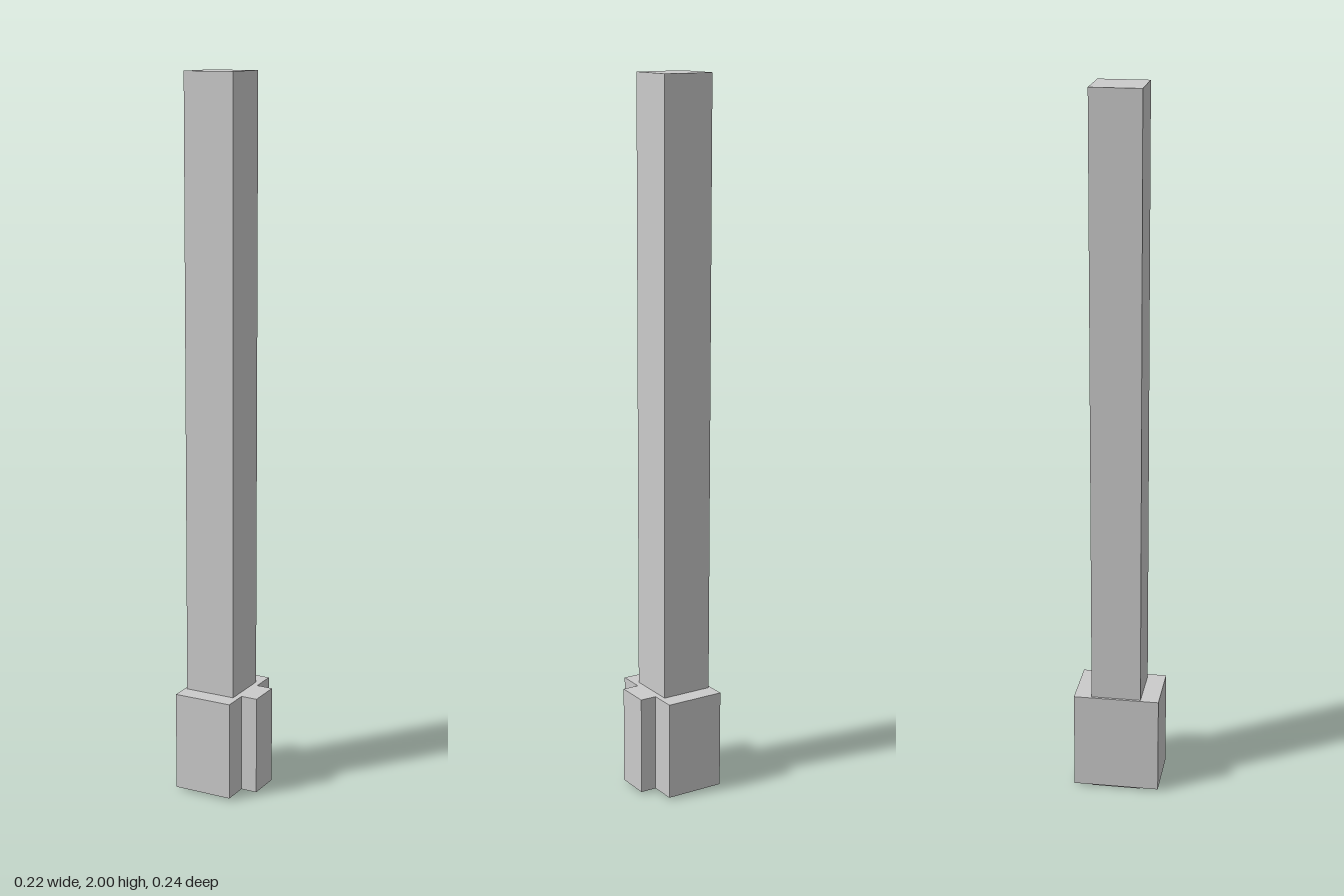
import * as THREE from 'three';

export function createModel() {
  const group = new THREE.Group();
  const material = new THREE.MeshStandardMaterial({ color: 0xcccccc, flatShading: true });

  // Tall square post, reaching just below the base
  const post = new THREE.Mesh(new THREE.BoxGeometry(0.147, 2, 0.14), material);
  post.name = 'post';
  post.position.set(-0.0285, 1, -0.002);
  group.add(post);

  // Base block with a narrower tab on its left side, drawn as a plan outline (x, -z)
  const outline = [
    [-0.109, -0.12], [0.061, -0.12], [0.061, -0.047], [0.108, -0.047],
    [0.108, 0.049], [0.061, 0.049], [0.061, 0.122], [-0.109, 0.122],
  ].map(([x, y]) => new THREE.Vector2(x, y));
  const geometry = new THREE.ExtrudeGeometry(new THREE.Shape(outline), { depth: 0.279, bevelEnabled: false });
  geometry.rotateX(-Math.PI / 2);
  const base = new THREE.Mesh(geometry, material);
  base.name = 'base';
  base.position.y = 0.006;
  group.add(base);

  return group;
}
